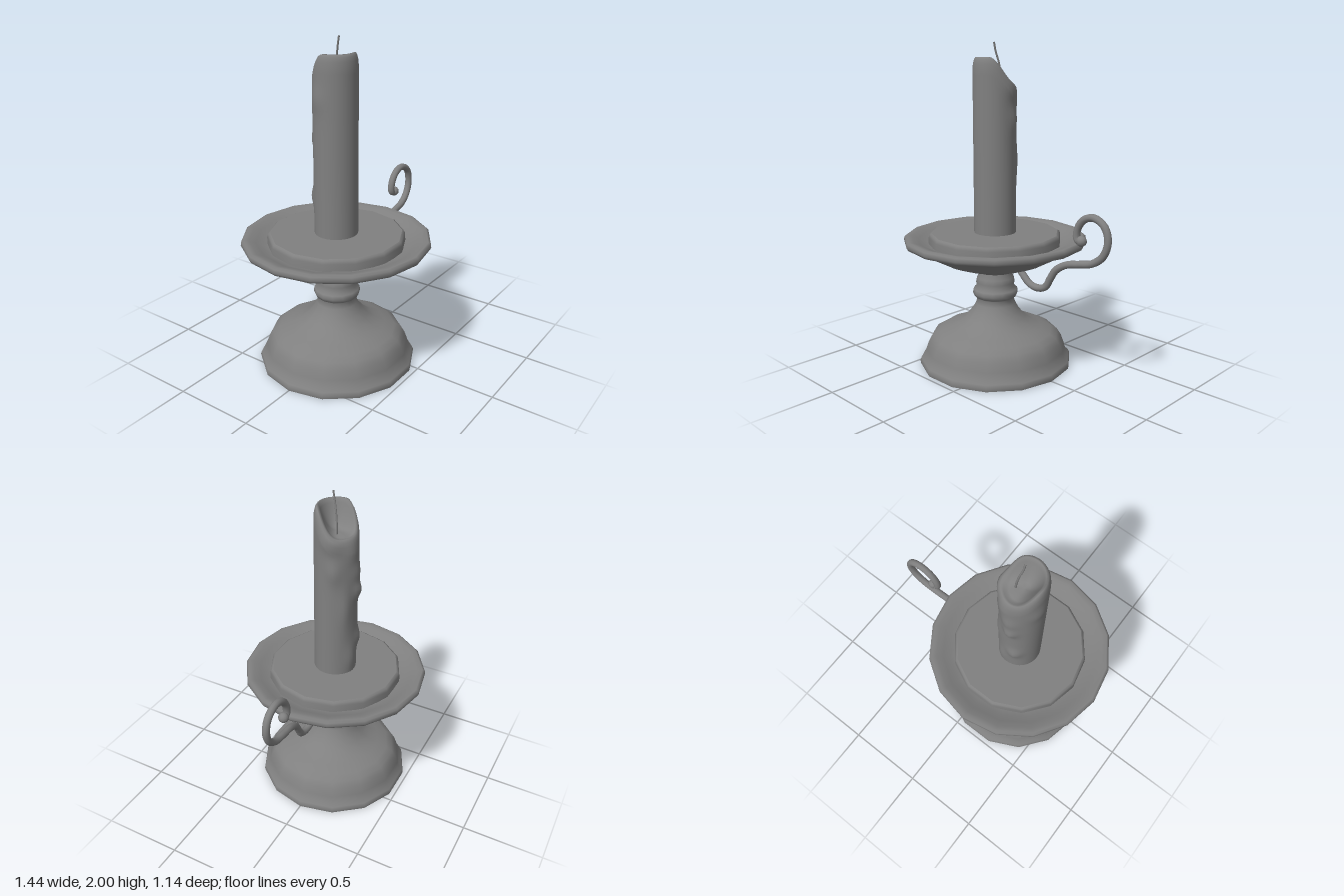
import * as THREE from 'three';
import { mergeVertices } from 'three/addons/utils/BufferGeometryUtils.js';

const AXIS_X = -0.155;
const grey = new THREE.MeshStandardMaterial({ color: 0x808080 });

function addMesh(parent, name, geometry, x = 0) {
  const mesh = new THREE.Mesh(geometry, grey);
  mesh.name = name;
  mesh.position.x = x;
  parent.add(mesh);
  return mesh;
}

// Lathe from [radius, height] pairs; a repeated pair makes a sharp edge
function lathe(profile, sides, start = 0) {
  const points = profile.map(([r, y]) => new THREE.Vector2(r, y));
  return new THREE.LatheGeometry(points, sides, start);
}

function tube(points, radius, segments, sides) {
  const curve = new THREE.CatmullRomCurve3(points.map((p) => new THREE.Vector3(...p)));
  return new THREE.TubeGeometry(curve, segments, radius, sides);
}

// Candle: top slopes down toward the back left, melted hollow, drips on the back
function candleGeometry() {
  const bottom = 0.83, radius = 0.13, rows = 40, hollow = 1.76;
  // Wax lumps: direction (x, z), height, size around, size up, thickness
  const drips = [
    [-0.1, -1, 1.41, 0.28, 0.055, 0.027], [0, -1, 1.53, 0.35, 0.07, 0.018],
    [0.35, -1, 1.66, 0.4, 0.08, 0.012], [-0.35, -1, 1.07, 0.3, 0.06, 0.02],
    [0.3, -1, 0.95, 0.3, 0.09, 0.012], [1, -0.25, 1.74, 0.5, 0.06, 0.02],
    [1, -0.35, 1.55, 0.3, 0.07, 0.013], [-1, -0.3, 1.66, 0.4, 0.07, 0.01],
    [0.8, -1, 1.3, 0.25, 0.12, 0.01],
  ];
  const rimHeight = (a) => {
    const s = 0.5 * Math.sin(a) - 0.85 * Math.cos(a);
    return 1.903 - 0.16 * THREE.MathUtils.smoothstep(s, -0.5, 1);
  };
  // Top rings: radius, lift above the rim, blend into the hollow
  const top = [[0.127, -0.03, 0], [0.121, -0.005, 0], [0.113, 0.009, 0], [0.103, 0.01, 0],
    [0.092, 0, 0.12], [0.078, 0, 0.38], [0.055, 0, 0.72], [0.03, 0, 0.93], [0, 0, 1]];
  const profile = [];
  for (let i = 0; i <= rows; i++) profile.push([radius, i / rows]);
  top.forEach(([r], i) => profile.push([r, 2 + i]));

  const g = lathe(profile, 40);
  const p = g.attributes.position;
  for (let i = 0; i < p.count; i++) {
    const row = i % profile.length;
    const a = (Math.floor(i / profile.length) / 40) * Math.PI * 2;
    const rim = rimHeight(a);
    let r = profile[row][0], y;
    if (row <= rows) {
      y = bottom + (rim - 0.07 - bottom) * profile[row][1];
    } else {
      const [, lift, blend] = top[row - rows - 1];
      y = THREE.MathUtils.lerp(rim + lift, hollow, blend);
    }
    const fade = THREE.MathUtils.smoothstep(r, 0.09, radius);
    for (const [dx, dz, h, wide, tall, thick] of drips) {
      const d = a - Math.atan2(dx, dz);
      const da = Math.atan2(Math.sin(d), Math.cos(d)) / wide;
      const dy = (y - h) / tall;
      r += fade * thick * Math.exp(-da * da - dy * dy);
    }
    p.setXYZ(i, r * Math.sin(a), y, r * Math.cos(a));
  }
  g.deleteAttribute('normal');
  g.deleteAttribute('uv');
  const merged = mergeVertices(g, 1e-4);
  merged.computeVertexNormals();
  return merged;
}

export function createModel() {
  const group = new THREE.Group();
  group.name = 'candlestick';

  // Bell-shaped foot with a flat underside, rising into the ringed stem
  addMesh(group, 'footAndStem', lathe([
    [0, 0], [0.48, 0], [0.48, 0], [0.484, 0.02], [0.476, 0.04], [0.455, 0.06],
    [0.443, 0.1], [0.425, 0.15], [0.4, 0.19], [0.36, 0.215], [0.3, 0.24],
    [0.24, 0.265], [0.19, 0.3], [0.15, 0.345], [0.125, 0.39], [0.114, 0.425],
    [0.132, 0.437], [0.143, 0.46], [0.138, 0.485], [0.118, 0.498], [0.122, 0.53],
    [0.116, 0.56], [0.1, 0.59], [0.1, 0.63],
  ], 14, Math.PI / 2), AXIS_X);

  // Shallow drip dish with a stepped underside and a thick rolled rim
  addMesh(group, 'dripDish', lathe([
    [0.08, 0.6], [0.13, 0.604], [0.165, 0.618], [0.185, 0.636], [0.22, 0.641],
    [0.28, 0.655], [0.34, 0.68], [0.41, 0.718], [0.48, 0.755], [0.53, 0.776],
    [0.558, 0.783], [0.568, 0.8], [0.565, 0.822], [0.55, 0.831], [0.52, 0.825],
    [0.48, 0.81], [0.44, 0.79], [0.38, 0.775], [0, 0.765],
  ], 16), AXIS_X);

  // Raised flat plate inside the dish
  addMesh(group, 'innerPlate', lathe([
    [0.414, 0.77], [0.412, 0.825], [0.406, 0.843], [0.394, 0.85], [0.394, 0.85], [0, 0.85],
  ], 14, Math.PI / 2), AXIS_X);

  addMesh(group, 'candle', candleGeometry(), AXIS_X);

  // Thin bent wick
  addMesh(group, 'wick', tube([
    [-0.115, 1.72, -0.02], [-0.118, 1.8, -0.02], [-0.126, 1.88, -0.01],
    [-0.138, 1.95, 0.006], [-0.14, 2, 0.016],
  ], 0.006, 16, 6));

  // Scrolled handle under the dish, ending in a small knob
  const handle = new THREE.Group();
  handle.name = 'handle';
  addMesh(handle, 'handleScroll', tube([
    [0.06, 0.66, 0.01], [0.1, 0.62, 0.01], [0.145, 0.582, 0.01], [0.21, 0.568, 0.01],
    [0.275, 0.588, 0.01], [0.31, 0.645, 0.008], [0.35, 0.705, 0.004], [0.42, 0.748, -0.004],
    [0.51, 0.768, -0.01], [0.6, 0.79, -0.014], [0.67, 0.845, -0.018], [0.698, 0.93, -0.02],
    [0.672, 1.01, -0.02], [0.6, 1.048, -0.02], [0.53, 1.028, -0.02], [0.486, 0.97, -0.02],
    [0.482, 0.91, -0.02], [0.515, 0.892, -0.02],
  ], 0.022, 90, 10));
  const knob = addMesh(handle, 'handleKnob', new THREE.SphereGeometry(0.031, 12, 8));
  knob.position.set(0.515, 0.902, -0.02);
  group.add(handle);

  return group;
}
